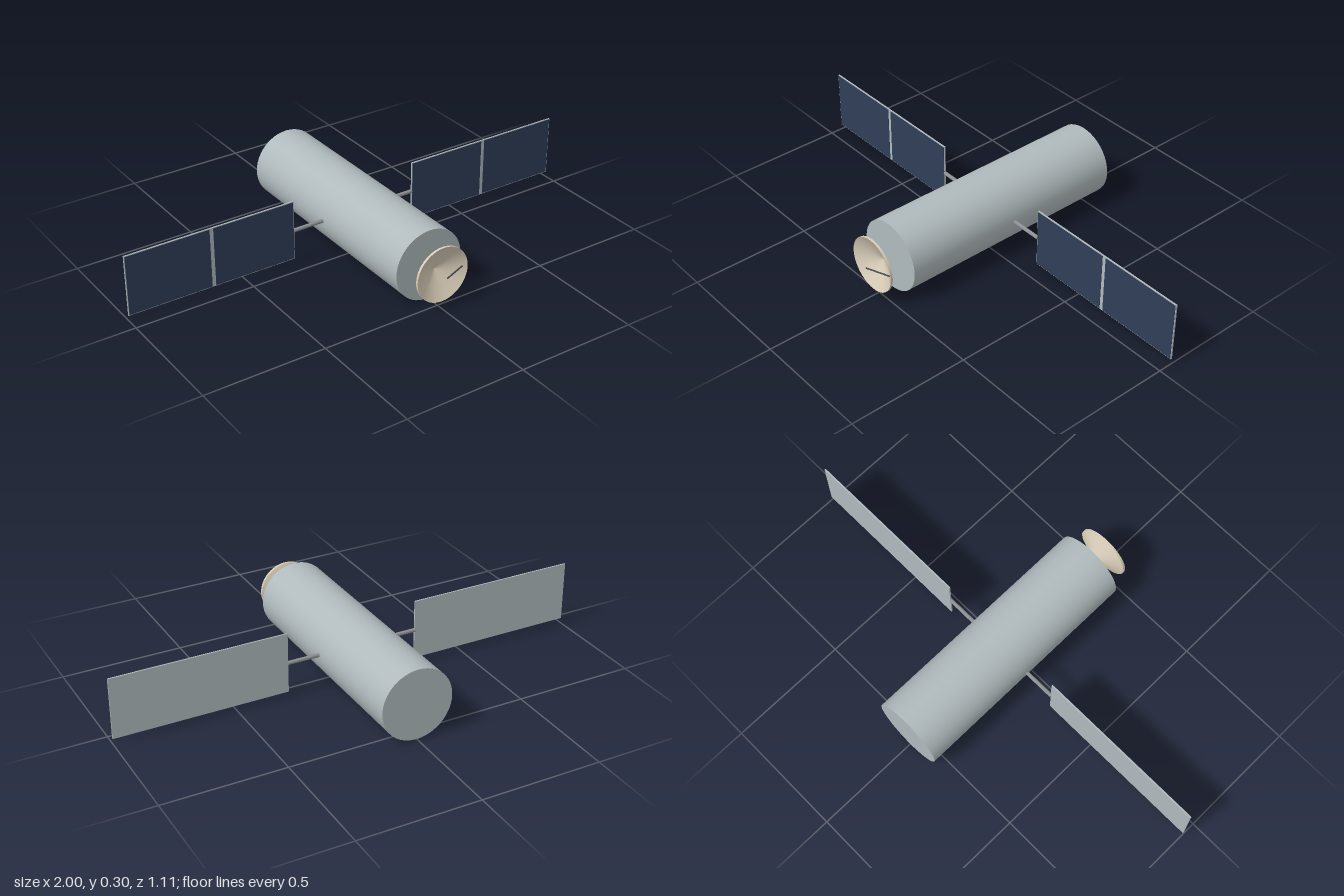
import * as THREE from 'three';

const CY = 0.15;   // height of the body axis
const PZ = -0.057; // depth of the solar wings

function material(name, color, side = THREE.FrontSide) {
  const m = new THREE.MeshStandardMaterial({ color, side });
  m.name = name;
  return m;
}

function add(parent, name, geometry, mat, x = 0, y = 0, z = 0) {
  const mesh = new THREE.Mesh(geometry, mat);
  mesh.name = name;
  mesh.position.set(x, y, z);
  parent.add(mesh);
  return mesh;
}

// Straight round bar between two points
function bar(parent, name, a, b, radius, mat) {
  const dir = b.clone().sub(a);
  const mesh = add(parent, name, new THREE.CylinderGeometry(radius, radius, dir.length(), 12), mat);
  mesh.position.copy(a).add(b).multiplyScalar(0.5);
  mesh.quaternion.setFromUnitVectors(new THREE.Vector3(0, 1, 0), dir.normalize());
  return mesh;
}

// Surface turned about the z axis from [radius, z] points
function turned(points) {
  const profile = points.map(([r, z]) => new THREE.Vector2(r, z));
  return new THREE.LatheGeometry(profile, 48).rotateX(Math.PI / 2);
}

export function createModel() {
  const model = new THREE.Group();
  model.name = 'satellite';

  const hull = material('hull grey', 0xb0babd);
  const cells = material('solar cell navy', 0x2f3e57);
  const strut = material('strut grey', 0x8c9092);
  const cream = material('dish cream', 0xd8cdb8, THREE.DoubleSide);
  const dark = material('feed dark grey', 0x4a4a4e);

  // Body
  const body = new THREE.CylinderGeometry(0.148, 0.148, 0.997, 48).rotateX(Math.PI / 2);
  add(model, 'body', body, hull, 0, CY, -0.0575);

  // Wings, mirrored left and right
  for (const side of [1, -1]) {
    const wing = new THREE.Group();
    wing.name = side > 0 ? 'leftWing' : 'rightWing';
    bar(wing, 'wingStrut', new THREE.Vector3(side * 0.14, CY, PZ),
      new THREE.Vector3(side * 0.281, CY, PZ), 0.008, strut);
    add(wing, 'wingPanel', new THREE.BoxGeometry(0.72, 0.254, 0.006), hull, side * 0.64, 0.152, PZ);
    for (const offset of [-1, 1]) {
      add(wing, 'solarCells', new THREE.BoxGeometry(0.349, 0.248, 0.002), cells,
        side * 0.64 + offset * 0.1825, 0.152, PZ + 0.0035);
    }
    model.add(wing);
  }

  // Dish: conical back, short rim and shallow bowl
  const dish = new THREE.Group();
  dish.name = 'dish';
  add(dish, 'dishBack', turned([[0, 0.468], [0.115, 0.518]]), cream);
  add(dish, 'dishRim', turned([[0.115, 0.518], [0.115, 0.528]]), cream);
  add(dish, 'dishBowl', turned([[0.115, 0.528], [0.06, 0.497], [0, 0.473]]), cream);
  bar(dish, 'feedArm', new THREE.Vector3(0, 0, 0.556), new THREE.Vector3(0.1, 0, 0.517), 0.003, dark);
  dish.position.y = CY;
  model.add(dish);

  return model;
}
